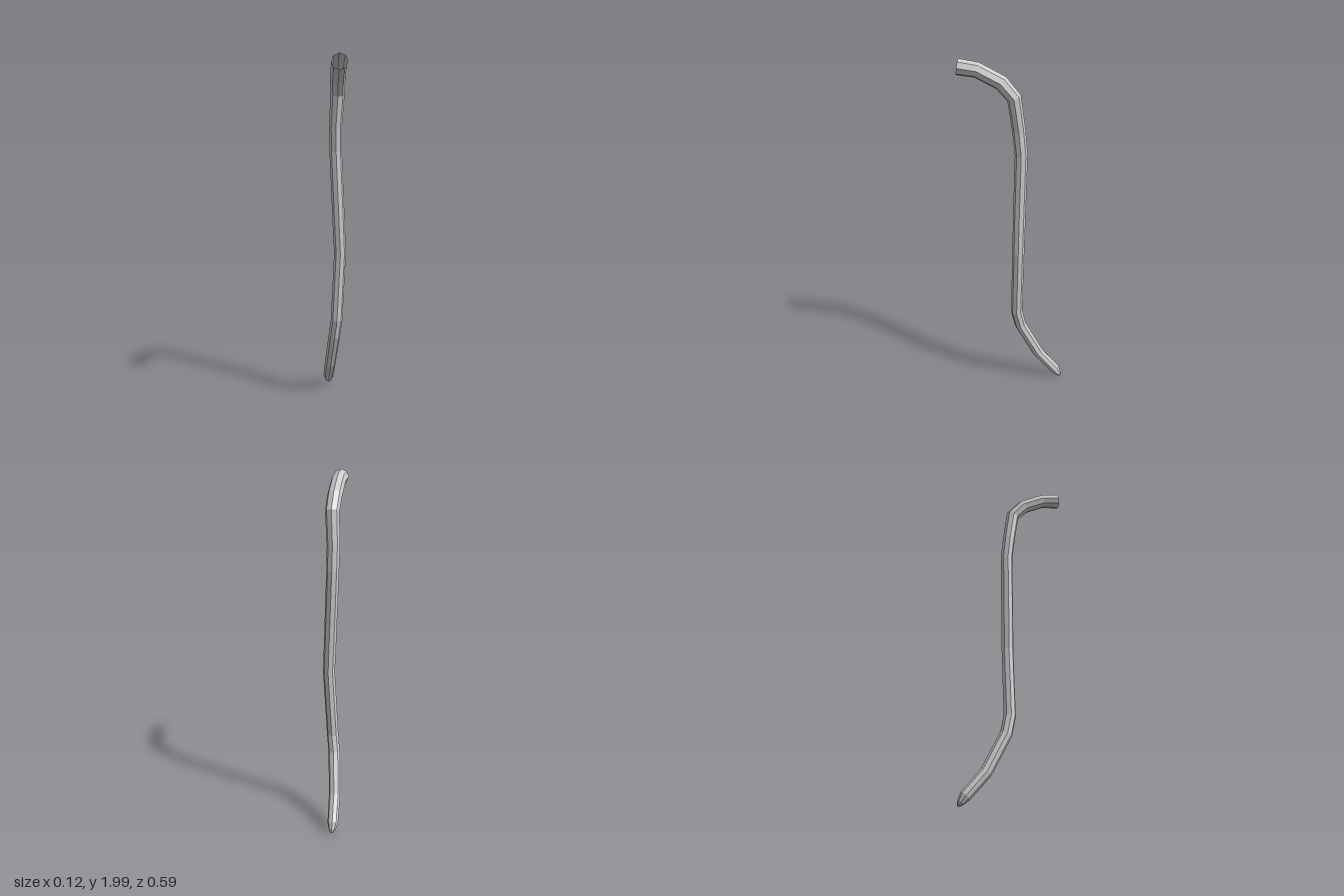
import * as THREE from 'three';

const SIDES = 8;

// Centre line stations from the open upper end to the closed tip: x, y, z, radius
const STATIONS = [
  [0.002, 1.955, 0.289, 0.043],
  [0.004, 1.94, 0.19, 0.041],
  [0.006, 1.875, 0.065, 0.041],
  [0.01, 1.797, -0.002, 0.039],
  [0.0, 1.62, -0.027, 0.036],
  [0.002, 1.485, -0.04, 0.035],
  [0.018, 1.09, -0.03, 0.035],
  [0.026, 0.9, -0.026, 0.034],
  [0.006, 0.505, -0.017, 0.034],
  [-0.006, 0.4, -0.04, 0.034],
  [-0.025, 0.185, -0.15, 0.033],
  [-0.03, 0.058, -0.255, 0.031],
  [-0.028, 0.026, -0.277, 0.02],
  [-0.026, 0.008, -0.289, 0.007],
];

function bentTube(stations) {
  const centres = stations.map(([x, y, z]) => new THREE.Vector3(x, y, z));
  const last = centres.length - 1;
  const direction = (i) => centres[i + 1].clone().sub(centres[i]).normalize();
  const positions = [];
  const indices = [];

  // One ring square to the path at every station
  centres.forEach((centre, i) => {
    const tangent = direction(Math.min(i, last - 1)).add(direction(Math.max(i - 1, 0))).normalize();
    const side = new THREE.Vector3(1, 0, 0).addScaledVector(tangent, -tangent.x).normalize();
    const normal = tangent.clone().cross(side);
    for (let j = 0; j < SIDES; j++) {
      const angle = (j / SIDES) * Math.PI * 2;
      const p = centre.clone()
        .addScaledVector(side, Math.cos(angle) * stations[i][3])
        .addScaledVector(normal, Math.sin(angle) * stations[i][3]);
      positions.push(p.x, p.y, p.z);
    }
  });

  // Walls between neighbouring rings
  for (let i = 0; i < last; i++) {
    for (let j = 0; j < SIDES; j++) {
      const a = i * SIDES + j;
      const b = i * SIDES + ((j + 1) % SIDES);
      indices.push(a, b, a + SIDES, b, b + SIDES, a + SIDES);
    }
  }

  // Fan closing the lower tip
  for (let j = 1; j < SIDES - 1; j++) {
    const start = last * SIDES;
    indices.push(start, start + j, start + j + 1);
  }

  const geometry = new THREE.BufferGeometry();
  geometry.setAttribute('position', new THREE.Float32BufferAttribute(positions, 3));
  geometry.setIndex(indices);
  geometry.computeVertexNormals();
  return geometry;
}

export function createModel() {
  const group = new THREE.Group();
  group.name = 'bentStick';
  const material = new THREE.MeshStandardMaterial({
    color: 0xcccccc, flatShading: true, side: THREE.DoubleSide,
  });
  const shaft = new THREE.Mesh(bentTube(STATIONS), material);
  shaft.name = 'shaft';
  group.add(shaft);
  return group;
}
